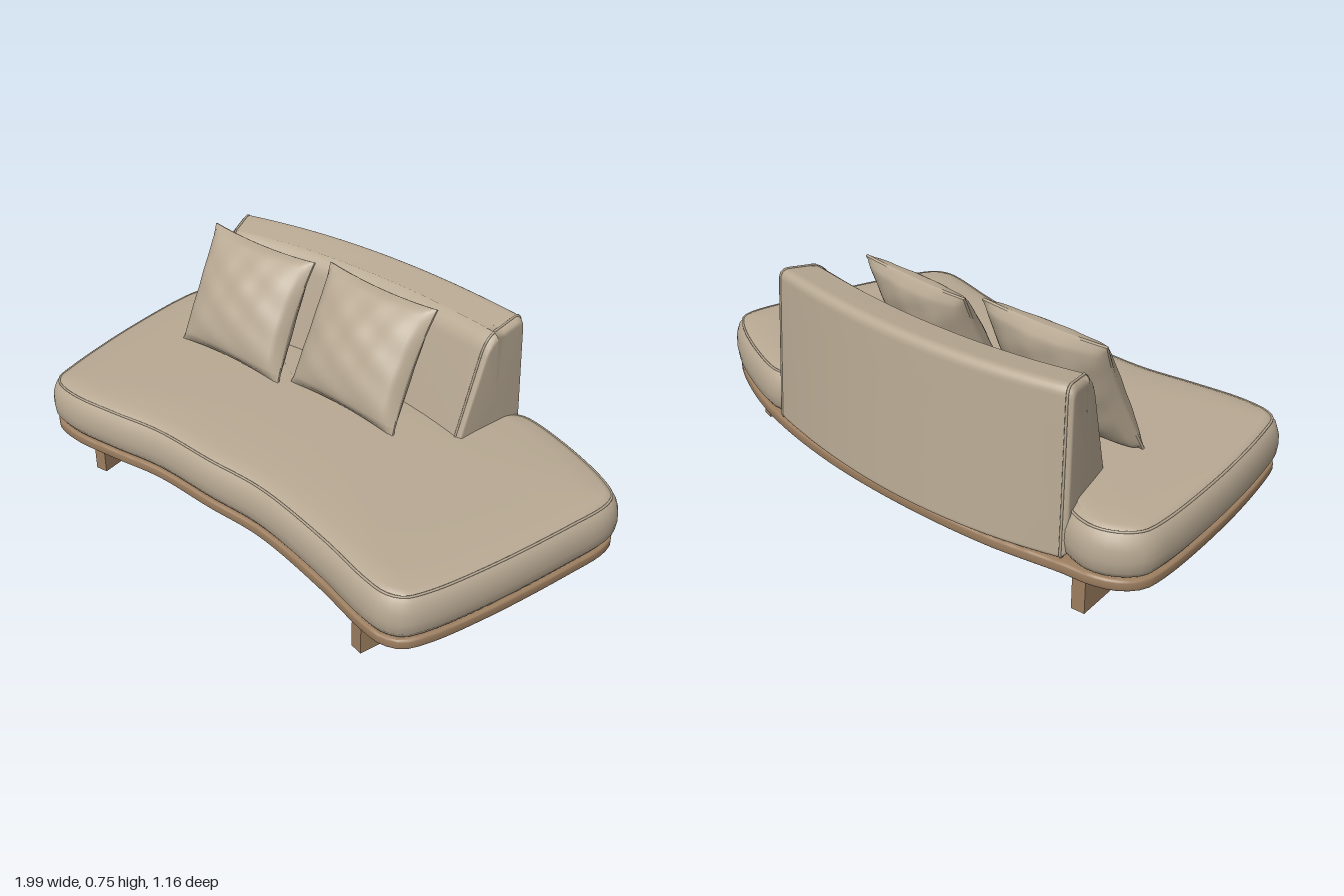
import * as THREE from 'three';
import { toCreasedNormals } from 'three/addons/utils/BufferGeometryUtils.js';

const V = (x, y, z) => new THREE.Vector3(x, y, z);

// Plan outlines as x, z pairs: front left to right, then round the back
const FRONT = [[-0.86, 0.425], [-0.75, 0.447], [-0.56, 0.435], [-0.37, 0.415], [-0.12, 0.428], [0.1, 0.435],
  [0.4, 0.5], [0.62, 0.565], [0.7, 0.575], [0.765, 0.55], [0.81, 0.48], [0.88, 0.28], [0.96, -0.03],
  [0.993, -0.2], [0.98, -0.27], [0.92, -0.325], [0.72, -0.425]];
const LEFT = [[-0.85, -0.51], [-0.93, -0.48], [-0.985, -0.42], [-0.998, -0.34], [-0.975, 0.02], [-0.925, 0.32], [-0.905, 0.385]];
const SEAT_BACK = [[0.52, -0.485], [0.46, -0.47], [0.35, -0.42], [-0.2, -0.47], [-0.66, -0.44], [-0.76, -0.495]];
const FRAME_BACK = [[0.49, -0.5], [0.15, -0.56], [-0.2, -0.577], [-0.52, -0.56], [-0.76, -0.52]];

function outline(back, n) {
  const pts = [...FRONT, ...back, ...LEFT].map(([x, z]) => V(x, 0, z));
  return new THREE.CatmullRomCurve3(pts, true, 'centripetal').getSpacedPoints(n).slice(0, n);
}

// Moves an outline inwards along its normals
function inset(pts, d, y = 0) {
  const n = pts.length;
  return pts.map((p, i) => {
    const t = pts[(i + 1) % n].clone().sub(pts[(i + n - 1) % n]).normalize();
    return V(p.x + t.z * d, y, p.z - t.x * d);
  });
}

// Skins closed rings and closes both ends
function loft(rings) {
  const n = rings[0].length, pos = [], idx = [];
  rings.forEach(r => r.forEach(p => pos.push(p.x, p.y, p.z)));
  for (let k = 0; k < rings.length - 1; k++) {
    for (let i = 0; i < n; i++) {
      const a = k * n + i, b = k * n + (i + 1) % n;
      idx.push(a, b, a + n, b, b + n, a + n);
    }
  }
  [0, rings.length - 1].forEach((k, end) => {
    const c = rings[k].reduce((s, p) => s.add(p), V(0, 0, 0)).divideScalar(n);
    const ci = pos.length / 3;
    pos.push(c.x, c.y, c.z);
    for (let i = 0; i < n; i++) {
      const a = k * n + i, b = k * n + (i + 1) % n;
      if (end) idx.push(ci, a, b); else idx.push(ci, b, a);
    }
  });
  const g = new THREE.BufferGeometry();
  g.setAttribute('position', new THREE.Float32BufferAttribute(pos, 3));
  g.setIndex(idx);
  g.computeVertexNormals();
  return g;
}

const seam = pts => new THREE.TubeGeometry(new THREE.CatmullRomCurve3(pts, true), 240, 0.004, 6, true);

// Rounded cross-section of the backrest at t (-1 left end, 1 right end)
function backSection(t, s) {
  const q = (a, m, b) => a * t * (t - 1) / 2 + m * (1 - t * t) + b * t * (t + 1) / 2;
  const c = [
    V(q(-0.705, -0.17, 0.468), 0.69, q(-0.32, -0.37, -0.285)),
    V(q(-0.69, -0.17, 0.43), 0.19, q(-0.2, -0.255, -0.125)),
    V(q(-0.768, -0.18, 0.485), 0.19, q(-0.495, -0.584, -0.49)),
    V(q(-0.755, -0.18, 0.485), 0.715, q(-0.47, -0.535, -0.455)),
  ];
  const mid = c.reduce((m, p) => m.add(p), V(0, 0, 0)).divideScalar(4);
  const ring = [];
  c.forEach((p, i) => {
    const r = [0.06, 0.015, 0.015, 0.035][i];
    const a = c[(i + 3) % 4].clone().sub(p).setLength(r).add(p);
    const b = c[(i + 1) % 4].clone().sub(p).setLength(r).add(p);
    ring.push(...new THREE.QuadraticBezierCurve3(a, p, b).getPoints(6));
    for (const f of [0.25, 0.5, 0.75]) ring.push(b.clone().lerp(c[(i + 1) % 4], f));
  });
  return ring.map(p => p.sub(mid).multiplyScalar(s).add(mid));
}

// Stuffed square pillow with pinched edges and light creases
function pillowGeometry() {
  const g = new THREE.BoxGeometry(2, 2, 2, 28, 28, 1), p = g.attributes.position;
  for (let i = 0; i < p.count; i++) {
    const u = p.getX(i), v = p.getY(i), side = Math.sign(p.getZ(i));
    const fu = 1 - u * u, fv = 1 - v * v;
    const puff = Math.pow(Math.max(fu * fv, 0), 0.45);
    const crease = 0.004 * Math.sin(9 * u + 4 * v) * Math.sin(7 * v - 3 * u) * puff;
    p.setXYZ(i, 0.24 * u * (1 - 0.07 * fv), 0.22 * v * (1 - 0.06 * fu),
      side * (0.004 + puff * 0.077 * (1 - 0.15 * v) + crease));
  }
  g.computeVertexNormals();
  return g;
}

export function createModel() {
  const model = new THREE.Group();
  model.name = 'curvedSofa';
  const material = (name, color) => {
    const m = new THREE.MeshStandardMaterial({ color });
    m.name = name;
    return m;
  };
  const fabric = material('beige fabric', 0xb8a993);
  const wood = material('oak wood', 0x9c7e60);
  const dark = material('dark glide', 0x4a4038);
  const add = (name, geometry, mat, parent = model) => {
    const m = new THREE.Mesh(geometry, mat);
    m.name = name;
    parent.add(m);
    return m;
  };

  // Seat cushion: rounded rim, then a gently domed top
  const seat = outline(SEAT_BACK, 160);
  const rings = [[0.045, 0.186], [0.018, 0.194], [0.004, 0.215], [0, 0.25], [0.002, 0.285], [0.012, 0.315],
    [0.028, 0.334], [0.05, 0.343]].map(([d, y]) => inset(seat, d, y));
  const rim = rings[rings.length - 1];
  [[0.9, 0.35], [0.65, 0.355], [0.35, 0.357], [0.1, 0.357]].forEach(([s, y]) =>
    rings.push(rim.map(p => V(p.x * s, y, p.z * s))));
  add('seatCushion', loft(rings), fabric);
  add('seatSeam', seam(inset(seat, 0.027, 0.333)), fabric);

  // Backrest: sections swept along the curve, rounded at the ends
  const stations = [[-1, 0.9], [-0.992, 0.95], [-0.975, 0.985], [-0.945, 1]];
  for (let i = -8; i <= 8; i++) stations.push([i * 0.11, 1]);
  stations.push([0.945, 1], [0.975, 0.985], [0.992, 0.95], [1, 0.9]);
  add('backrest', loft(stations.map(([t, s]) => backSection(t, s))), fabric);
  for (const t of [-0.965, 0.965]) add('backrestSeam', seam(backSection(t, 0.995)), fabric);

  // Two loose pillows leaning on the backrest
  const pillow = pillowGeometry();
  [[-0.475, -0.168, -0.04], [0.035, -0.175, -0.1]].forEach(([x, z, turn]) => {
    const m = add('pillow', pillow, fabric);
    m.position.set(x, 0.55, z);
    m.rotation.set(-0.45, turn, 0, 'YXZ');
  });

  // Wooden frame: outer band and a thinner inner band
  const plan = outline(FRAME_BACK, 160);
  const flat = d => inset(plan, d).map(p => new THREE.Vector2(p.x, -p.z));
  const band = (outer, inner, y, h, bevel) => {
    const shape = new THREE.Shape(flat(outer + bevel));
    shape.holes.push(new THREE.Path(flat(inner - bevel)));
    const g = new THREE.ExtrudeGeometry(shape, {
      depth: h - 2 * bevel, bevelThickness: bevel, bevelSize: bevel, bevelSegments: 3,
    });
    g.rotateX(-Math.PI / 2).translate(0, y + bevel, 0);
    return toCreasedNormals(g, 0.6);
  };
  add('frameBand', band(0.01, 0.07, 0.15, 0.036, 0.008), wood);
  add('innerBand', band(0.09, 0.13, 0.153, 0.02, 0.002), wood);

  // Slats across the frame
  for (let i = 0; i < 12; i++) {
    const x = -0.8 + i * 0.138;
    const zs = plan.filter(p => Math.abs(p.x - x) < 0.05).map(p => p.z);
    const z0 = Math.min(...zs) + 0.05, z1 = Math.max(...zs) - 0.06;
    add('slat', new THREE.BoxGeometry(0.065, 0.018, z1 - z0), wood).position.set(x, 0.161, (z0 + z1) / 2);
  }

  // Panel legs follow the slanted ends, each on three glides
  [[-0.71, 0.37, -0.787, -0.46], [0.565, 0.505, 0.785, -0.315]].forEach(([x0, z0, x1, z1]) => {
    const leg = new THREE.Group();
    leg.name = 'legPanel';
    leg.position.set((x0 + x1) / 2, 0, (z0 + z1) / 2);
    leg.rotation.y = Math.atan2(x0 - x1, z0 - z1);
    model.add(leg);
    const length = Math.hypot(x1 - x0, z1 - z0);
    add('panel', new THREE.BoxGeometry(0.045, 0.14, length), wood, leg).position.y = 0.08;
    for (const f of [-0.4, 0.02, 0.43]) {
      add('glide', new THREE.CylinderGeometry(0.012, 0.012, 0.012, 16), dark, leg).position.set(0, 0.006, f * length);
    }
  });

  // Long beams between the legs
  [[-0.23, -0.765, 0.765], [0.16, -0.73, 0.66]].forEach(([z, x0, x1]) => {
    add('beam', new THREE.BoxGeometry(x1 - x0, 0.065, 0.04), wood).position.set((x0 + x1) / 2, 0.119, z);
  });

  return model;
}
